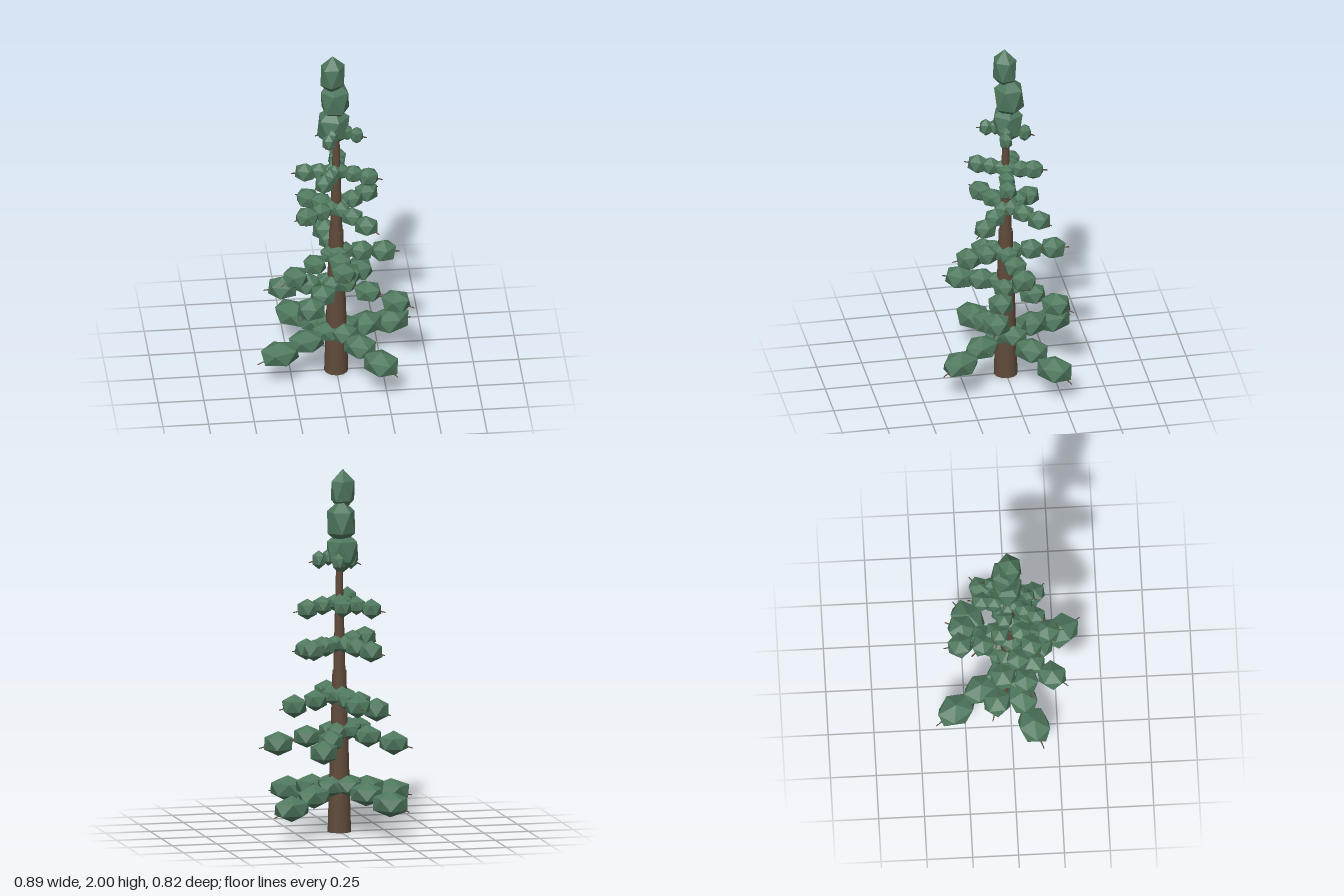
import * as THREE from 'three';

const bark = new THREE.MeshStandardMaterial({ color: 0x604a3a });
const needles = new THREE.MeshStandardMaterial({ color: 0x4f785e, flatShading: true });

// Icosahedron standing on one corner
const clumpGeometry = new THREE.IcosahedronGeometry(1, 0).rotateX(-1.017);

// Each tier: height at the trunk, clump size [along, up, across],
// and its branches as [x, y, z] of the outer clump
const tiers = [
  { y: 0.27, size: [0.122, 0.073, 0.094], ends: [[-0.21, 0.19, -0.3], [0.32, 0.17, -0.21], [-0.32, 0.19, 0.12], [0.215, 0.2, 0.29]] },
  { y: 0.57, size: [0.09, 0.068, 0.083], ends: [[-0.285, 0.49, -0.08], [0.315, 0.48, 0.11], [-0.16, 0.53, 0.225], [0.15, 0.48, -0.25]] },
  { y: 0.76, size: [0.076, 0.066, 0.076], ends: [[0.265, 0.71, -0.05], [-0.035, 0.73, -0.27], [0.02, 0.74, 0.21], [-0.23, 0.65, 0.08]] },
  { y: 1.04, size: [0.074, 0.06, 0.066], ends: [[-0.17, 1.05, 0.11], [0.15, 0.99, 0.14], [0.18, 1.03, -0.15], [-0.14, 1.01, -0.15]] },
  { y: 1.27, size: [0.062, 0.058, 0.055], ends: [[0.175, 1.23, 0.02], [-0.165, 1.23, -0.06], [-0.08, 1.27, 0.14], [0.02, 1.26, -0.15]] },
  { y: 1.53, size: [0.04, 0.052, 0.04], ends: [[0.11, 1.5, 0.02], [-0.05, 1.51, 0.1], [0.03, 1.5, -0.1], [-0.06, 1.5, -0.02]] },
];

function clump(name, position, size, turn) {
  const mesh = new THREE.Mesh(clumpGeometry, needles);
  mesh.name = name;
  mesh.position.copy(position);
  mesh.scale.set(...size);
  mesh.rotation.y = turn;
  return mesh;
}

// Tapered rod between two points
function rod(name, from, to, r0, r1, sides) {
  const direction = to.clone().sub(from);
  const mesh = new THREE.Mesh(new THREE.CylinderGeometry(r1, r0, direction.length(), sides), bark);
  mesh.name = name;
  mesh.position.copy(from).add(to).multiplyScalar(0.5);
  mesh.quaternion.setFromUnitVectors(new THREE.Vector3(0, 1, 0), direction.normalize());
  return mesh;
}

function createBranch(tier, end) {
  const branch = new THREE.Group();
  branch.name = 'branch';
  const root = new THREE.Vector3(0, tier.y, 0);
  const outer = new THREE.Vector3(...end);
  const reach = Math.hypot(end[0], end[2]);
  const tip = root.clone().lerp(outer, 1 + (tier.size[0] + 0.015) / reach);
  branch.add(rod('branchStem', root, tip, 0.014, 0.003, 5));

  // Inner, middle and outer foliage, strung along the stem
  const turn = Math.atan2(-end[2], end[0]);
  [[0.15, 0.8], [0.53, 0.93], [1, 1]].forEach(([t, scale]) => {
    const position = root.clone().lerp(outer, t);
    branch.add(clump('needleClump', position, tier.size.map((s) => s * scale), turn));
  });
  return branch;
}

export function createModel() {
  const tree = new THREE.Group();
  tree.name = 'conifer';

  // Trunk in stacked tapering lengths: bottom y, top y, bottom radius, top radius
  [[0, 0.5, 0.066, 0.051], [0.5, 0.89, 0.051, 0.039], [0.89, 1.6, 0.034, 0.015]].forEach(([y0, y1, r0, r1]) => {
    tree.add(rod('trunk', new THREE.Vector3(0, y0, 0), new THREE.Vector3(0, y1, 0), r0, r1, 12));
  });

  // Drooping whorls of branches
  for (const tier of tiers) {
    const whorl = new THREE.Group();
    whorl.name = 'branchTier';
    tier.ends.forEach((end) => whorl.add(createBranch(tier, end)));
    tree.add(whorl);
  }

  // Crown of stacked upright clumps: x, y, z, [width, half height, depth], turn
  [
    [-0.015, 1.55, -0.012, [0.1, 0.122, 0.092], 0.3],
    [-0.005, 1.71, -0.02, [0.092, 0.13, 0.088], 1.1],
    [-0.02, 1.88, 0.002, [0.079, 0.12, 0.068], 0.5],
  ].forEach(([x, y, z, size, turn]) => {
    tree.add(clump('crownClump', new THREE.Vector3(x, y, z), size, turn));
  });

  return tree;
}
